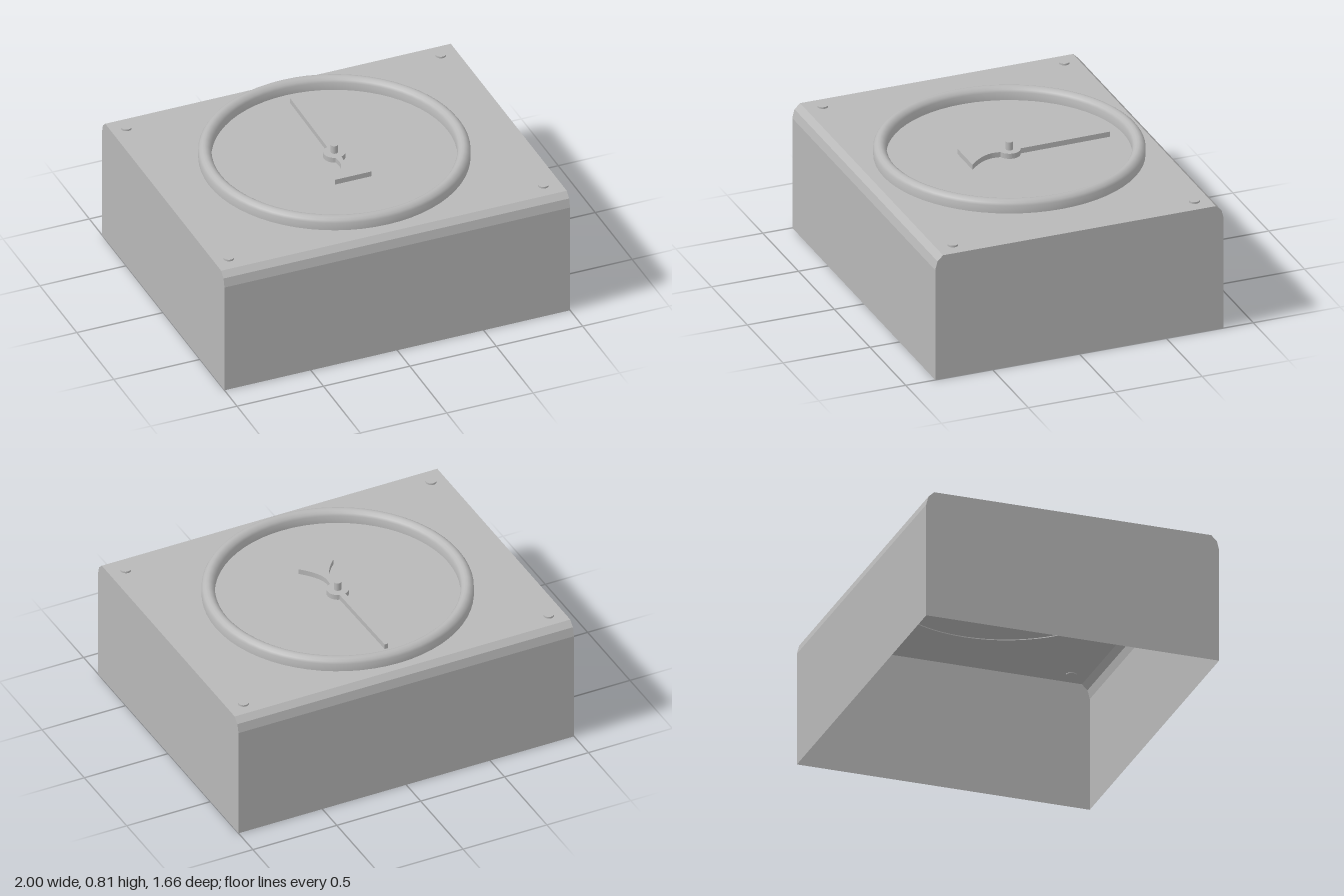
import * as THREE from 'three';
import { toCreasedNormals } from 'three/addons/utils/BufferGeometryUtils.js';

const TOP = 0.73; // height of the housing's top plate
const CX = -0.005, CZ = -0.01; // centre of the dial

// Half of the housing's cross-section (z, y), from the bottom edge to the top
const SIDE = [[0.83, 0], [0.83, 0.65], [0.817, 0.7], [0.785, TOP]];

export function createModel() {
  const model = new THREE.Group();
  model.name = 'dialBox';
  const grey = new THREE.MeshStandardMaterial({ color: 0xb8b8b8 });
  grey.name = 'grey';
  const greySheet = new THREE.MeshStandardMaterial({ color: 0xb8b8b8, side: THREE.DoubleSide });
  greySheet.name = 'grey sheet';

  const add = (name, geometry, material, x = 0, y = 0, z = 0, parent = model) => {
    const mesh = new THREE.Mesh(geometry, material);
    mesh.name = name;
    mesh.position.set(x, y, z);
    parent.add(mesh);
    return mesh;
  };

  // Housing: folded sheet, open underneath, running along x
  const profile = [...SIDE, ...SIDE.map(([z, y]) => [-z, y]).reverse()];
  const verts = [];
  for (let i = 0; i < profile.length - 1; i++) {
    const [z0, y0] = profile[i], [z1, y1] = profile[i + 1];
    const a = [-1, y0, z0], b = [1, y0, z0], c = [1, y1, z1], d = [-1, y1, z1];
    verts.push(...a, ...b, ...c, ...a, ...c, ...d);
  }
  const wrap = new THREE.BufferGeometry();
  wrap.setAttribute('position', new THREE.Float32BufferAttribute(verts, 3));
  wrap.computeVertexNormals();
  const housing = new THREE.Group();
  housing.name = 'housing';
  model.add(housing);
  add('housingWrap', wrap, greySheet, 0, 0, 0, housing);

  // Flat end walls
  const endShape = new THREE.Shape(profile.map(([z, y]) => new THREE.Vector2(z, y)));
  for (const s of [-1, 1]) {
    const wall = add(s > 0 ? 'leftWall' : 'rightWall', new THREE.ShapeGeometry(endShape), greySheet, s, 0, 0, housing);
    wall.rotation.y = s * Math.PI / 2;
  }

  // Dial rim with a rounded top
  const rimProfile = [
    [0.655, 0.725], [0.725, 0.725], [0.725, 0.775], [0.717, 0.788], [0.704, 0.798],
    [0.69, 0.802], [0.676, 0.798], [0.663, 0.788], [0.655, 0.775], [0.655, 0.725],
  ].map(([r, y]) => new THREE.Vector2(r, y));
  add('dialRim', toCreasedNormals(new THREE.LatheGeometry(rimProfile, 64), 0.7), grey, CX, 0, CZ);

  // Needle: tapered pointer, round hub and flared tail
  const hub = 0.06, neck = 0.017, a0 = Math.asin(neck / hub);
  const needle = new THREE.Shape();
  needle.moveTo(-0.105, -0.255);
  needle.lineTo(0.105, -0.255);
  needle.quadraticCurveTo(0.015, -0.17, 0.013, -0.1);
  needle.lineTo(neck, -hub * Math.cos(a0));
  needle.absarc(0, 0, hub, -Math.PI / 2 + a0, Math.PI / 2 - a0, false);
  needle.lineTo(0.01, 0.575);
  needle.lineTo(-0.01, 0.575);
  needle.lineTo(-neck, hub * Math.cos(a0));
  needle.absarc(0, 0, hub, Math.PI / 2 + a0, Math.PI * 1.5 - a0, false);
  needle.lineTo(-0.013, -0.1);
  needle.quadraticCurveTo(-0.015, -0.17, -0.105, -0.255);
  const needleGeo = new THREE.ExtrudeGeometry(needle, { depth: 0.03, bevelEnabled: false, curveSegments: 12 });
  needleGeo.rotateX(-Math.PI / 2);
  add('needle', toCreasedNormals(needleGeo, 0.6), grey, CX, TOP, CZ);

  // Pivot pin
  add('pivotPin', new THREE.CylinderGeometry(0.02, 0.02, 0.077, 24), grey, CX, TOP + 0.0385, CZ);

  // Corner screws
  for (const x of [-0.915, 0.905]) {
    for (const z of [-0.7, 0.69]) {
      add('cornerScrew', new THREE.CylinderGeometry(0.029, 0.029, 0.014, 24), grey, x, TOP + 0.003, z);
    }
  }
  return model;
}
